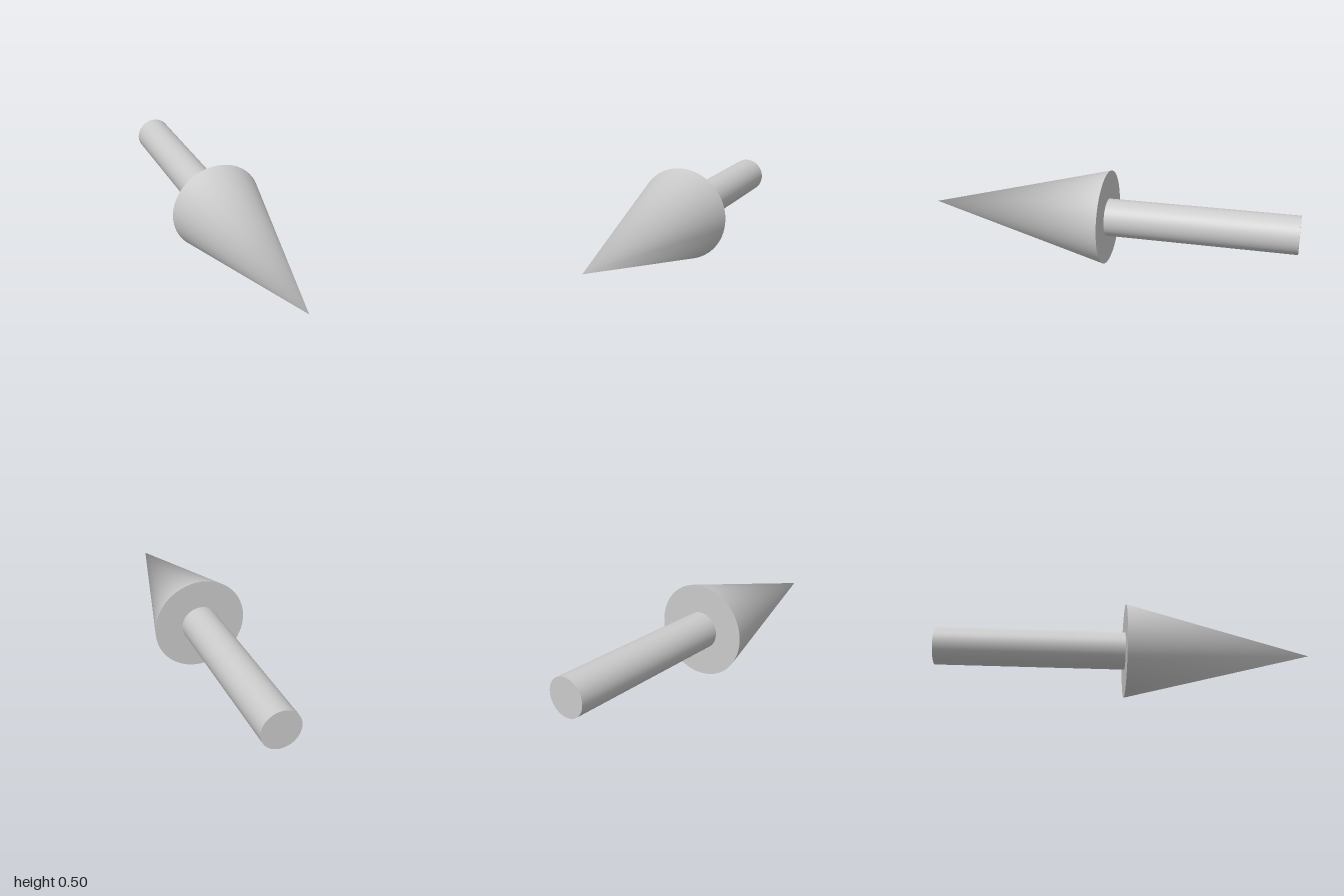
import * as THREE from 'three';

const SIDES = 64;
const HEAD_RADIUS = 0.25;
const SHAFT_RADIUS = 0.1;
const LENGTH = 1; // head and shaft are equally long

export function createModel() {
  const group = new THREE.Group();
  group.name = 'arrow';
  const material = new THREE.MeshStandardMaterial({ color: 0xcccccc });

  // Adds a part, laid along z at the height of the arrow's axis
  const addPart = (name, geometry, z) => {
    geometry.rotateX(Math.PI / 2);
    const mesh = new THREE.Mesh(geometry, material);
    mesh.name = name;
    mesh.position.set(0, HEAD_RADIUS, z);
    group.add(mesh);
  };

  // Cone head: the normals at the tip all point forward, for a rounded shading
  const head = new THREE.ConeGeometry(HEAD_RADIUS, LENGTH, SIDES);
  const { position, normal } = head.attributes;
  for (let i = 0; i < position.count; i++) {
    if (position.getY(i) > 0) normal.setXYZ(i, 0, 1, 0);
  }
  addPart('arrowHead', head, LENGTH / 2);

  // Round shaft behind the head
  addPart('shaft', new THREE.CylinderGeometry(SHAFT_RADIUS, SHAFT_RADIUS, LENGTH, SIDES), -LENGTH / 2);

  return group;
}
